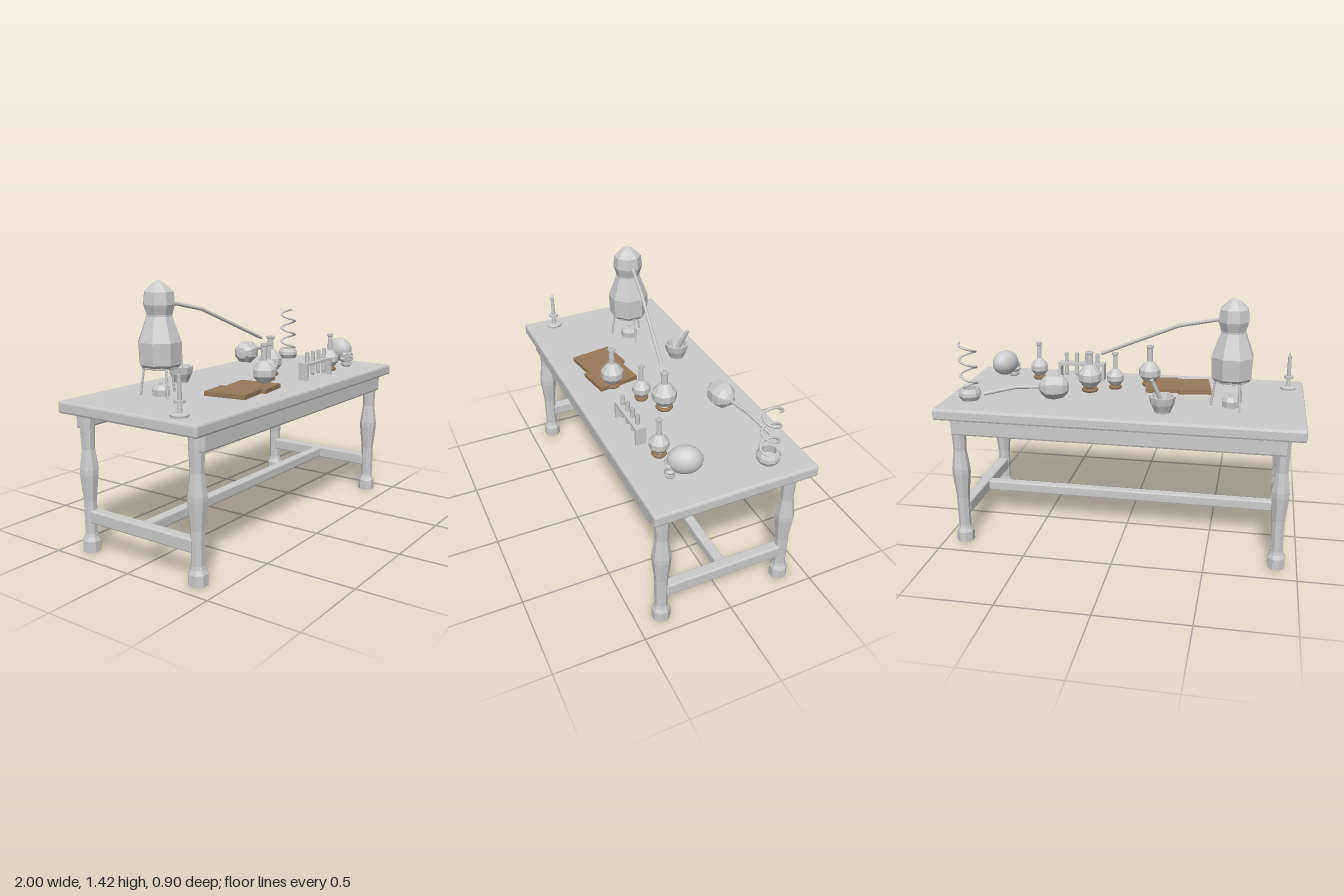
import * as THREE from 'three';
import { RoundedBoxGeometry } from 'three/addons/geometries/RoundedBoxGeometry.js';

const TOP = 0.82; // height of the table surface

export function createModel() {
  const flat = new THREE.MeshStandardMaterial({ color: 0xcccccc, flatShading: true, side: THREE.DoubleSide });
  const smooth = new THREE.MeshStandardMaterial({ color: 0xcccccc });
  const brown = new THREE.MeshStandardMaterial({ color: 0x96795a });

  const v = (p) => new THREE.Vector3(...p);
  const group = (parent, name, x = 0, y = 0, z = 0) => {
    const g = new THREE.Group();
    g.name = name;
    g.position.set(x, y, z);
    parent.add(g);
    return g;
  };
  const add = (parent, name, geo, mat, x = 0, y = 0, z = 0) => {
    const m = new THREE.Mesh(geo, mat);
    m.name = name;
    m.position.set(x, y, z);
    parent.add(m);
    return m;
  };
  // Faceted turned shape; profile rows are [radius, height], flats face the axes
  const turned = (profile, sides) =>
    new THREE.LatheGeometry(profile.map(([r, y]) => new THREE.Vector2(r, y)), sides, Math.PI / sides);
  const bar = (w, h, d, bevel = 0.008) => new RoundedBoxGeometry(w, h, d, 1, bevel);
  // Straight rod between two points
  const rod = (parent, name, a, b, r0, r1 = r0, mat = smooth) => {
    const from = v(a), to = v(b), dir = to.clone().sub(from);
    const m = add(parent, name, new THREE.CylinderGeometry(r1, r0, dir.length(), 8), mat);
    m.position.copy(from).add(to).multiplyScalar(0.5);
    m.quaternion.setFromUnitVectors(new THREE.Vector3(0, 1, 0), dir.normalize());
    return m;
  };
  // Bent pipe through straight sections
  const pipe = (parent, name, pts, r) => {
    const path = new THREE.CurvePath();
    for (let i = 1; i < pts.length; i++) path.add(new THREE.LineCurve3(v(pts[i - 1]), v(pts[i])));
    return add(parent, name, new THREE.TubeGeometry(path, 24, r, 8), smooth);
  };

  const model = new THREE.Group();
  model.name = 'alchemyTable';

  // Table: top, long aprons, turned legs, H stretcher
  const table = group(model, 'table');
  add(table, 'tableTop', bar(2, 0.065, 0.9, 0.012), flat, 0, 0.7875, 0);
  const legProfile = [
    [0, 0], [0.05, 0], [0.05, 0.06], [0.039, 0.082], [0.035, 0.1], [0.036, 0.28], [0.051, 0.42],
    [0.051, 0.45], [0.036, 0.56], [0.041, 0.68], [0.043, 0.76], [0, 0.76],
  ];
  for (const s of [-1, 1]) {
    add(table, 'apron', bar(1.82, 0.1, 0.045, 0.012), flat, 0, 0.712, s * 0.397);
    add(table, 'sideStretcher', bar(0.06, 0.07, 0.68), flat, s * 0.885, 0.195, 0);
    for (const t of [-1, 1]) add(table, 'leg', turned(legProfile, 8), flat, s * 0.888, 0, t * 0.36);
  }
  add(table, 'longStretcher', bar(1.74, 0.06, 0.055), flat, 0, 0.195, 0);

  // Candlestick
  const candle = group(model, 'candlestick', -0.91, TOP, 0.28);
  add(candle, 'holder', turned([
    [0, 0], [0.045, 0], [0.047, 0.012], [0.014, 0.018], [0.01, 0.062], [0.027, 0.065], [0.027, 0.08], [0, 0.08],
  ], 12), flat);
  rod(candle, 'candle', [0, 0.08, 0], [0, 0.2, 0], 0.012, 0.01);
  rod(candle, 'wick', [0, 0.2, 0], [0, 0.217, 0], 0.004);

  // Still: bulbous body and domed head on a tripod over a burner
  const still = group(model, 'still', -0.595, 0, -0.11);
  add(still, 'stillBody', turned([
    [0, 0.972], [0.1, 0.975], [0.114, 0.99], [0.119, 1.105], [0.07, 1.235], [0.07, 1.245],
    [0.086, 1.295], [0.079, 1.36], [0.035, 1.4], [0, 1.42],
  ], 8), flat);
  const ring = add(still, 'tripodRing', new THREE.TorusGeometry(0.09, 0.006, 8, 24), smooth, 0, 0.973, 0);
  ring.rotation.x = Math.PI / 2;
  for (let i = 0; i < 3; i++) {
    const a = (i * Math.PI * 2) / 3, c = Math.cos(a), s = Math.sin(a);
    rod(still, 'tripodLeg', [0.108 * c, TOP, 0.108 * s], [0.086 * c, 0.973, 0.086 * s], 0.006);
  }
  add(still, 'burner', turned([
    [0, TOP], [0.047, TOP], [0.05, 0.855], [0.036, 0.876], [0.01, 0.878], [0.008, 0.893], [0, 0.893],
  ], 8), flat);
  pipe(model, 'stillPipe', [[-0.53, 1.303, -0.113], [-0.3, 1.25, -0.068], [0.15, 1.052, 0.017]], 0.01);

  // Mortar and pestle
  const mortar = group(model, 'mortarAndPestle', -0.24, TOP, -0.27);
  add(mortar, 'mortar', turned([
    [0, 0], [0.045, 0], [0.048, 0.012], [0.066, 0.05], [0.073, 0.09], [0.06, 0.09], [0.045, 0.035], [0, 0.025],
  ], 10), flat);
  rod(mortar, 'pestle', [-0.005, 0.04, 0], [0.052, 0.19, -0.047], 0.015, 0.01);

  // Open book
  for (const x of [-0.365, -0.175]) {
    const page = add(model, 'bookHalf', new THREE.BoxGeometry(0.19, 0.024, 0.24), brown, x, TOP + 0.012, 0.185);
    page.rotation.y = 0.15;
  }

  // Round flasks on cork rings: x, z, bulb radius, bulb height, top
  for (const [x, z, r, cy, top] of [
    [-0.1, 0.205, 0.064, 0.902, 1.063], [0.09, 0.11, 0.051, 0.887, 1.036],
    [0.225, 0.033, 0.069, 0.908, 1.055], [0.585, 0.233, 0.053, 0.892, 1.046],
  ]) {
    const flask = group(model, 'flask', x, 0, z);
    const n = r * 0.27;
    add(flask, 'flaskGlass', turned([
      [0, cy - r], [r * 0.6, cy - r * 0.82], [r, cy - r * 0.28], [r, cy + r * 0.28], [r * 0.6, cy + r * 0.8],
      [n, cy + r * 1.05], [n, top - 0.016], [n * 1.3, top - 0.012], [n * 1.3, top], [n * 0.7, top], [n * 0.7, cy],
    ], 10), flat);
    const cork = add(flask, 'corkRing', new THREE.TorusGeometry(r * 0.55, 0.011, 6, 16), brown, 0, TOP + 0.01, 0);
    cork.rotation.x = Math.PI / 2;
  }

  // Test tube rack
  const rack = group(model, 'testTubeRack', 0.33, TOP, 0.28);
  add(rack, 'rackBar', new THREE.BoxGeometry(0.285, 0.016, 0.06), flat, 0, 0.092, 0);
  for (const s of [-1, 1]) add(rack, 'rackEnd', new THREE.BoxGeometry(0.016, 0.09, 0.06), flat, s * 0.134, 0.045, 0);
  for (let i = 0; i < 4; i++) {
    add(rack, 'testTube', turned([
      [0, 0.015], [0.008, 0.018], [0.012, 0.03], [0.012, 0.158], [0.008, 0.158], [0.008, 0.04], [0, 0.04],
    ], 8), flat, (i - 1.5) * 0.064, 0, 0);
  }

  // Skull turned toward the front right corner
  const skull = group(model, 'skull', 0.785, TOP, 0.195);
  skull.rotation.y = -0.4;
  const blob = (name, x, y, z, rx, ry, rz) =>
    add(skull, name, new THREE.SphereGeometry(1, 16, 12), smooth, x, y, z).scale.set(rx, ry, rz);
  blob('cranium', 0, 0.102, -0.005, 0.067, 0.074, 0.09);
  add(skull, 'face', bar(0.075, 0.065, 0.05, 0.016), smooth, 0, 0.062, 0.065);
  add(skull, 'jaw', bar(0.055, 0.032, 0.05, 0.012), smooth, 0, 0.018, 0.067);
  for (const s of [-1, 1]) {
    blob('cheekbone', s * 0.034, 0.052, 0.068, 0.013, 0.011, 0.022);
    add(skull, 'eyeSocket', new THREE.TorusGeometry(0.013, 0.005, 6, 12), smooth, s * 0.018, 0.074, 0.089);
  }
  for (let i = 0; i < 5; i++) {
    add(skull, 'tooth', new THREE.BoxGeometry(0.007, 0.012, 0.008), flat, (i - 2) * 0.009, 0.032, 0.088);
  }

  // Retort lying on its side with a bent spout
  const retort = add(model, 'retortBody', turned([
    [0, -0.08], [0.035, -0.077], [0.062, -0.05], [0.072, 0], [0.066, 0.04], [0.04, 0.07], [0.012, 0.085], [0, 0.085],
  ], 8), flat, 0.365, 0.92, -0.24);
  retort.rotation.set(0, 0.2, -Math.PI / 2);
  retort.rotation.order = 'YZX';
  pipe(model, 'retortSpout', [[0.42, 0.918, -0.25], [0.57, 0.918, -0.283], [0.74, 0.882, -0.32]], 0.01);

  // Small pot holding a condenser coil
  const condenser = group(model, 'condenser', 0.855, TOP, -0.24);
  add(condenser, 'pot', turned([
    [0, 0], [0.05, 0], [0.064, 0.025], [0.062, 0.045], [0.05, 0.066], [0.04, 0.066], [0.045, 0.02], [0, 0.015],
  ], 10), flat);
  const turns = [];
  for (let i = 0; i <= 48; i++) {
    const a = (i / 48) * Math.PI * 6;
    turns.push(new THREE.Vector3(0.045 * Math.cos(a), 0.055 + (0.27 * i) / 48, 0.045 * Math.sin(a)));
  }
  add(condenser, 'coil', new THREE.TubeGeometry(new THREE.CatmullRomCurve3(turns), 96, 0.007, 8), smooth);

  return model;
}
